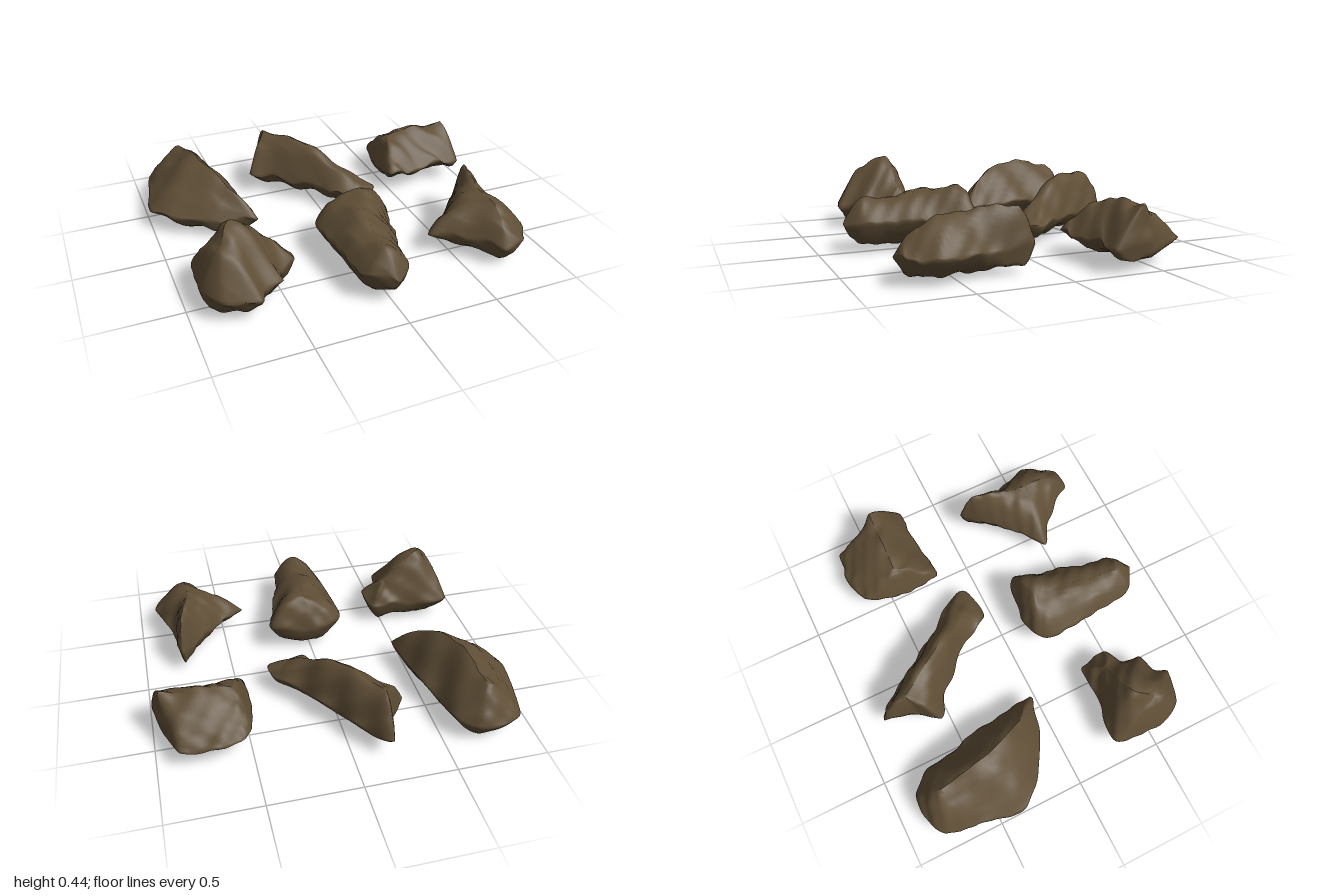
import * as THREE from 'three';
import { mergeVertices } from 'three/addons/utils/BufferGeometryUtils.js';

const SIDES = 96;
const { lerp, clamp } = THREE.MathUtils;

// Lumps and dents on the stone
function weather(x, y, z) {
  const a = Math.sin(21 * x + 11 * y + 2) * Math.sin(18 * z - 13 * y + 1);
  const b = Math.sin(41 * x - 29 * z + 17 * y) * Math.sin(37 * y + 31 * z);
  return 0.014 * a + 0.008 * b;
}

// Rock from a plan outline [x, z] (clockwise from above) rising to a crest line [x, y, z]
function rockGeometry(outline, crest, { girth, base, bulge }) {
  const corners = outline.map(([x, z]) => new THREE.Vector3(x, 0, z));
  const rim = new THREE.CatmullRomCurve3(corners, true, 'catmullrom', 0.3).getSpacedPoints(SIDES).slice(0, SIDES);

  // Every rim point climbs to the crest point level with it along the crest's axis
  const crestCurve = new THREE.CatmullRomCurve3(crest.map((p) => new THREE.Vector3(...p)));
  const start = crestCurve.getPoint(0).setY(0);
  const axis = crestCurve.getPoint(1).setY(0).sub(start);
  const tops = rim.map((p) => crestCurve.getPoint(clamp(p.clone().sub(start).dot(axis) / axis.lengthSq(), 0, 1)));

  // Rings from the underside, out to the girth, and up to the crest
  const rings = [];
  for (const pull of [1, 0.8, 0.6, 0.4, 0.25, 0.12, 0.04]) {
    rings.push({ pull, height: () => lerp(girth, base, 1 - Math.pow(1 - pull, 3)) });
  }
  for (const pull of [0, 0.04, 0.1, 0.18, 0.28, 0.4, 0.52, 0.64, 0.76, 0.88, 1]) {
    rings.push({ pull, height: (top) => lerp(girth, top, 1 - Math.pow(1 - pull, bulge)) });
  }

  const positions = [], index = [];
  for (const { pull, height } of rings) {
    rim.forEach((p, i) => {
      const c = tops[i];
      const x = lerp(p.x, c.x, pull), y = height(c.y), z = lerp(p.z, c.z, pull);
      const w = weather(x, y, z), side = 0.5 * w * (1 - pull);
      positions.push(x + side, Math.max(0, y + w), z - side);
    });
  }
  for (let r = 0; r < rings.length - 1; r++) {
    for (let i = 0; i < SIDES; i++) {
      const a = r * SIDES + i, b = r * SIDES + (i + 1) % SIDES;
      index.push(a, a + SIDES, b + SIDES, a, b + SIDES, b);
    }
  }
  let geometry = new THREE.BufferGeometry();
  geometry.setAttribute('position', new THREE.Float32BufferAttribute(positions, 3));
  geometry.setIndex(index);
  geometry = mergeVertices(geometry, 1e-3);
  geometry.computeVertexNormals();
  return geometry;
}

export function createModel() {
  const group = new THREE.Group();
  group.name = 'rocks';
  const stone = new THREE.MeshStandardMaterial({ color: 0x5f4e36 });
  stone.name = 'brown stone';

  function addRock(name, outline, crest, form) {
    const mesh = new THREE.Mesh(rockGeometry(outline, crest, form), stone);
    mesh.name = name;
    group.add(mesh);
  }

  // Back row
  addRock('longRockBackRight',
    [[-1, -0.4], [-0.92, -0.8], [-0.78, -0.87], [-0.66, -0.86], [-0.57, -0.76], [-0.49, -0.4], [-0.44, -0.05], [-0.53, -0.05], [-0.72, -0.12], [-0.93, -0.26]],
    [[-0.73, 0.32, -0.74], [-0.67, 0.37, -0.4], [-0.57, 0.27, -0.17]],
    { girth: 0.12, base: 0.015, bulge: 1.25 });
  addRock('slantedRockBackCentre',
    [[-0.34, -0.55], [-0.25, -0.66], [-0.2, -0.85], [-0.1, -0.77], [0.2, -0.32], [0.31, -0.2], [0.31, -0.09], [0.1, -0.06], [0.02, -0.24], [-0.22, -0.48]],
    [[-0.19, 0.34, -0.69], [0.02, 0.34, -0.38], [0.23, 0.17, -0.16]],
    { girth: 0.13, base: 0.05, bulge: 1.9 });
  addRock('wedgeRockBackLeft',
    [[0.475, -0.2], [0.48, -0.55], [0.53, -0.65], [0.66, -0.7], [0.87, -0.68], [0.94, -0.5], [0.99, -0.25], [0.9, -0.23], [0.68, -0.22]],
    [[0.56, 0.31, -0.43], [0.94, 0.33, -0.42]],
    { girth: 0.13, base: 0.05, bulge: 1.4 });

  // Front row
  addRock('peakedRockFrontRight',
    [[-0.93, 0.55], [-0.91, 0.28], [-0.8, 0.26], [-0.6, 0.3], [-0.43, 0.3], [-0.41, 0.47], [-0.5, 0.53], [-0.53, 0.64], [-0.63, 0.67], [-0.67, 0.74], [-0.86, 0.69]],
    [[-0.8, 0.38, 0.53], [-0.73, 0.44, 0.42], [-0.52, 0.27, 0.4]],
    { girth: 0.14, base: 0.015, bulge: 1.5 });
  addRock('longRockFrontCentre',
    [[-0.17, 0.6], [-0.2, 0.25], [-0.15, 0.16], [0, 0.12], [0.24, 0.19], [0.2, 0.38], [0.13, 0.6], [0.1, 0.78], [0, 0.86], [-0.13, 0.79]],
    [[0.04, 0.34, 0.23], [-0.03, 0.28, 0.74]],
    { girth: 0.17, base: 0.035, bulge: 2.2 });
  addRock('spurRockFrontLeft',
    [[0.38, 0.48], [0.53, 0.36], [0.73, 0.15], [0.78, 0.11], [0.83, 0.38], [0.9, 0.6], [0.8, 0.77], [0.68, 0.78], [0.52, 0.59]],
    [[0.765, 0.34, 0.18], [0.7, 0.33, 0.45], [0.71, 0.27, 0.67]],
    { girth: 0.14, base: 0.035, bulge: 1.6 });
  return group;
}
